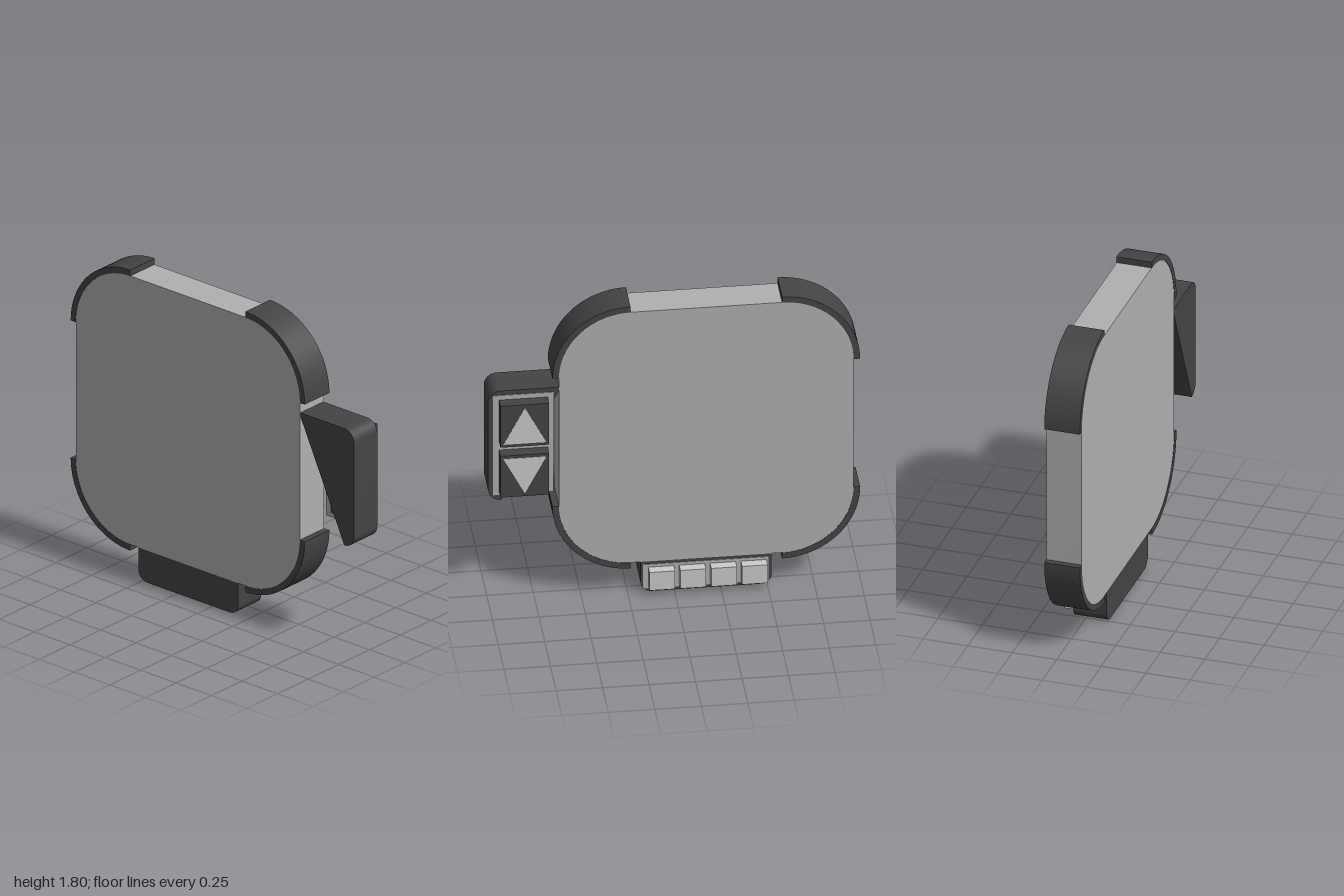
import * as THREE from 'three';
import { toCreasedNormals } from 'three/addons/utils/BufferGeometryUtils.js';

const material = (color) => new THREE.MeshStandardMaterial({ color });

// Extrudes a shape drawn in (z, y) along x, from x0 to x1
function slab(name, shape, x0, x1, mat) {
  let geo = new THREE.ExtrudeGeometry(shape, { depth: x1 - x0, bevelEnabled: false, curveSegments: 16 });
  geo.rotateY(-Math.PI / 2).translate(x1, 0, 0);
  geo = toCreasedNormals(geo, 0.5);
  const mesh = new THREE.Mesh(geo, mat);
  mesh.name = name;
  return mesh;
}

// Rectangle with its own radius per corner: [z0y0, z1y0, z1y1, z0y1]
function roundRect(z0, z1, y0, y1, [a, b, c, d] = [0, 0, 0, 0]) {
  const s = new THREE.Shape();
  const P = Math.PI;
  const corner = (z, y, r, start) => {
    if (r > 0) s.absarc(z, y, r, start, start + P / 2, false);
    else s.lineTo(z, y);
  };
  s.moveTo(z0 + a, y0);
  corner(z1 - b, y0 + b, b, -P / 2);
  corner(z1 - c, y1 - c, c, 0);
  corner(z0 + d, y1 - d, d, P / 2);
  if (a > 0) corner(z0 + a, y0 + a, a, P);
  return s;
}

export function createModel() {
  const group = new THREE.Group();
  const dark = material(0x444444);
  const mid = material(0xb0b0b0);
  const light = material(0xcccccc);
  const add = (...args) => group.add(slab(...args));

  // Main rounded-square body
  const R = 0.42, r = 0.385;
  const cz = [-0.58, 0.235], cy = [0.575, 1.38];
  add('body', roundRect(cz[0] - r, cz[1] + r, cy[0] - r, cy[1] + r, [r, r, r, r]), -0.128, 0.068, mid);

  // Quarter-ring bumpers on the four corners
  const corners = [[1, 1], [0, 1], [0, 0], [1, 0]];
  corners.forEach(([i, j], k) => {
    const a = k * Math.PI / 2, b = a + Math.PI / 2;
    const s = new THREE.Shape();
    s.absarc(cz[i], cy[j], R, a, b, false);
    s.absarc(cz[i], cy[j], r, b, a, true);
    add('cornerBumper', s, -0.13, 0.07, dark);
  });

  // Side pod with two arrow buttons
  add('sidePod', roundRect(0.61, 1, 0.635, 1.32, [0, 0.07, 0.07, 0]), -0.125, 0.063, dark);
  add('sidePodPanel', roundRect(0.65, 0.973, 0.668, 1.293), 0.05, 0.066, mid);
  for (const dir of [1, -1]) {
    const y = 0.978 + dir * 0.157;
    add('arrowButton', roundRect(0.68, 0.942, y - 0.13, y + 0.13), 0.05, 0.13, dark);
    const tri = new THREE.Shape([
      new THREE.Vector2(0.811, y + dir * 0.112),
      new THREE.Vector2(0.811 - 0.116, y - dir * 0.112),
      new THREE.Vector2(0.811 + 0.116, y - dir * 0.112),
    ]);
    add('arrow', tri, 0.12, 0.132, light);
  }

  // Bottom pod with a row of four keys
  add('bottomPod', roundRect(-0.525, 0.18, 0, 0.2, [0.06, 0.06, 0, 0]), -0.125, 0.063, dark);
  add('bottomPodPanel', roundRect(-0.507, 0.167, 0.02, 0.17), 0.05, 0.066, mid);
  for (let i = 0; i < 4; i++) {
    const z = 0.07 - i * 0.166;
    add('key', roundRect(z - 0.069, z + 0.069, 0.038, 0.152), 0.05, 0.12, light);
  }
  return group;
}
